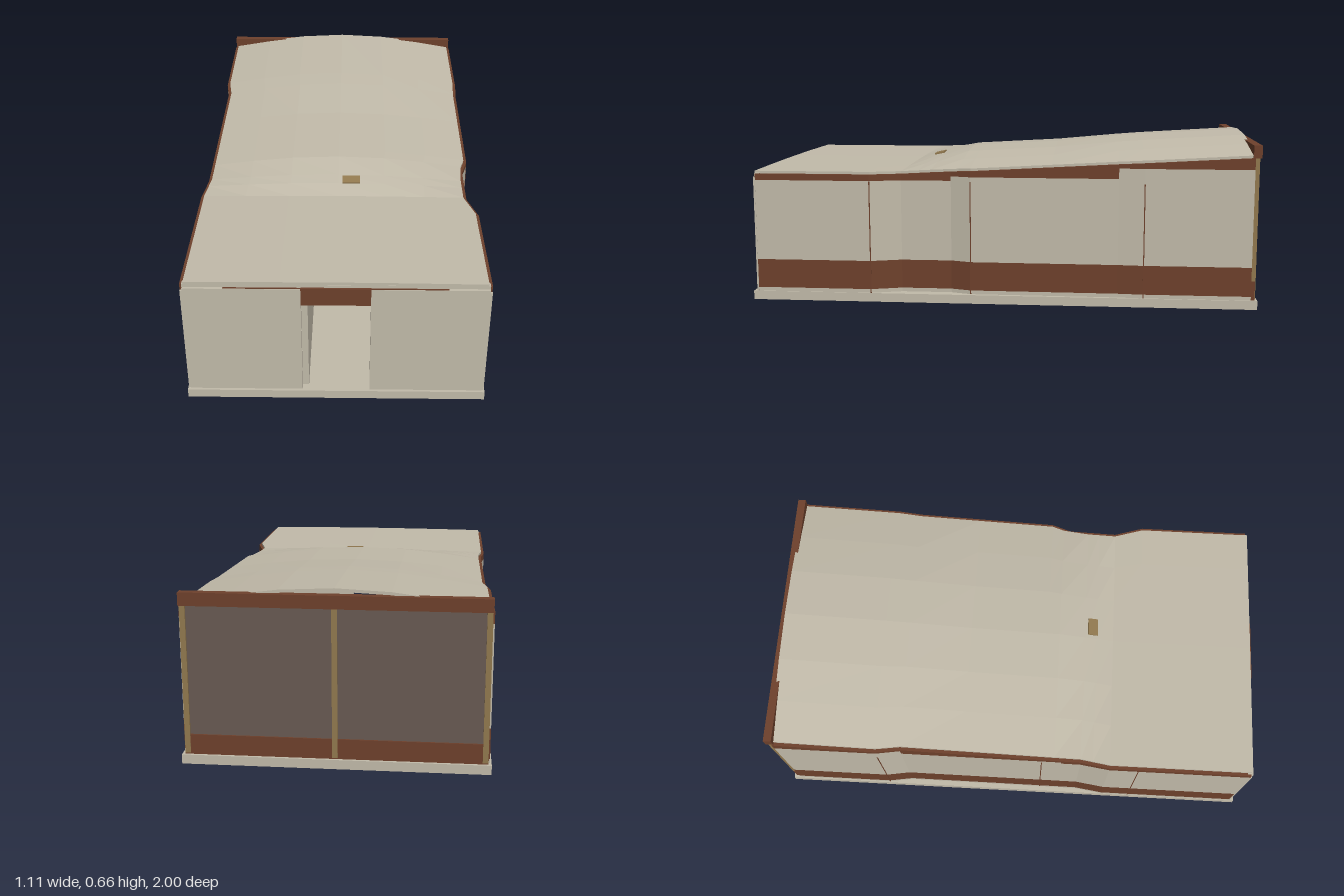
import * as THREE from 'three';

const mat = (name, color) => {
  const m = new THREE.MeshStandardMaterial({ color });
  m.name = name;
  return m;
};

// Linear interpolation through [key, value] pairs with falling keys
function along(pairs, z) {
  for (let i = 1; i < pairs.length; i++) {
    const [z0, v0] = pairs[i - 1], [z1, v1] = pairs[i];
    if (z >= z1 || i === pairs.length - 1) return v0 + (v1 - v0) * (z0 - z) / (z0 - z1);
  }
}

// Closed solid through rings (counter-clockwise from the front), ordered front to back
function loft(rings) {
  const pos = [], n = rings[0].length;
  const quad = (a, b, c, d) => pos.push(...a, ...b, ...c, ...a, ...c, ...d);
  for (let r = 0; r < rings.length - 1; r++) {
    const A = rings[r], B = rings[r + 1];
    for (let i = 0; i < n; i++) {
      const j = (i + 1) % n;
      quad(A[i], B[i], B[j], A[j]);
    }
  }
  const F = rings[0], L = rings[rings.length - 1];
  for (let k = 0; k < n / 2 - 1; k++) {
    quad(F[k], F[k + 1], F[n - 2 - k], F[n - 1 - k]);
    quad(L[n - 1 - k], L[n - 2 - k], L[k + 1], L[k]);
  }
  const g = new THREE.BufferGeometry();
  g.setAttribute('position', new THREE.Float32BufferAttribute(pos, 3));
  g.computeVertexNormals();
  return g;
}

export function createModel() {
  const group = new THREE.Group();
  group.name = 'pavilion';
  const plaster = mat('plaster', 0xc2bbaa);
  const brown = mat('brown', 0x6e412c);
  const glass = mat('dark glass', 0x685a52);
  const brass = mat('brass', 0x92794f);

  const add = (name, geo, m) => {
    const mesh = new THREE.Mesh(geo, m);
    mesh.name = name;
    group.add(mesh);
    return mesh;
  };
  // Box from its lower and upper limits on each axis
  const box = (name, m, x0, x1, y0, y1, z0, z1) => {
    const mesh = add(name, new THREE.BoxGeometry(x1 - x0, y1 - y0, z1 - z0), m);
    mesh.position.set((x0 + x1) / 2, (y0 + y1) / 2, (z0 + z1) / 2);
    return mesh;
  };

  // Outer wall lines: distance from the middle along z
  const plan = {
    left: [[1, 0.552], [0.52, 0.552], [0.4, 0.515], [0.2, 0.515], [0.12, 0.54], [-0.46, 0.543], [-0.56, 0.55], [-1, 0.55]],
    right: [[1, 0.553], [0.4, 0.553], [0.28, 0.536], [-0.46, 0.534], [-0.56, 0.55], [-1, 0.55]],
  };
  const eaves = [[1, 0.521], [0.4, 0.521], [-0.98, 0.6]];
  const ridge = [[1, 0.525], [0.4, 0.525], [0.33, 0.545], [0.17, 0.579], [-0.2, 0.6], [-0.5, 0.63], [-0.98, 0.66]];
  const breaks = [0.98, 0.52, 0.4, 0.28, 0.2, 0.12, -0.46, -0.56, -0.975];

  // Floor slab
  box('floorSlab', plaster, -0.556, 0.556, 0, 0.035, -1, 1);

  // Side walls: one strip following the plan between two heights
  const strip = (name, m, side, z0, z1, low, high, thick = 0.03) => {
    const s = side === 'left' ? 1 : -1;
    const zs = breaks.filter((z) => z <= z0 && z >= z1);
    const rings = zs.map((z) => {
      const xo = along(plan[side], z), xi = xo - thick, top = high(z);
      const ring = [[s * xo, low, z], [s * xo, top, z], [s * xi, top, z], [s * xi, low, z]];
      return s > 0 ? ring : ring.reverse();
    });
    add(name, loft(rings), m);
  };
  const trimSteps = [[0.98, 0.2, 0.486], [0.2, -0.46, 0.504], [-0.46, -0.975, 0.545]];
  for (const side of ['left', 'right']) {
    strip(side + 'WallFoot', plaster, side, 0.98, -0.975, 0.035, () => 0.05);
    strip(side + 'Skirt', brown, side, 0.98, -0.975, 0.05, () => 0.165);
    for (const [z0, z1, y] of trimSteps) {
      strip(side + 'Wall', plaster, side, z0, z1, 0.165, () => y);
      strip(side + 'EavesTrim', brown, side, z0, z1, y, (z) => along(eaves, z) - 0.01);
    }
    // Thin panel joints
    const s = side === 'left' ? 1 : -1;
    for (const z of [0.52, 0.12, -0.56]) {
      const x = s * along(plan[side], z);
      box(side + 'PanelJoint', brown, x - 0.001, x + 0.001, 0.035, 0.485, z - 0.002, z + 0.002);
    }
  }

  // Curved roof: arched across, rising to the back
  const arch = [[0, 0], [0.31, 0.47], [0.63, 0.84], [1, 1], [1.37, 0.84], [1.69, 0.47], [2, 0]];
  const roofZ = [0.985, 0.52, 0.4, 0.33, 0.28, 0.17, 0.12, -0.2, -0.46, -0.56, -0.98];
  const roofRings = roofZ.map((z) => {
    const xl = along(plan.left, z) - 0.013, xr = along(plan.right, z) - 0.013;
    const top = arch.map(([t, h]) => {
      const e = along(eaves, z), x = (1 - t) * (t < 1 ? xl : xr);
      return [x, e + (along(ridge, z) - e) * h, z];
    });
    return [...top, ...top.map(([x, y]) => [x, y - 0.011, z]).reverse()];
  });
  add('roof', loft(roofRings), plaster);

  // Roof vent lying on the slope
  const vent = box('roofVent', brass, 0.015, 0.088, 0.54, 0.554, 0.29, 0.332);
  vent.rotation.x = 0.22;

  // Front wall with doorway
  for (const s of [-1, 1]) {
    const [a, b] = [0.125 * s, 0.545 * s].sort((p, q) => p - q);
    box('frontWall', plaster, a, b, 0.035, 0.497, 0.965, 0.99);
    const [c, d] = [0.54 * s, 0.553 * s].sort((p, q) => p - q);
    box('frontCorner', plaster, c, d, 0.035, 0.485, 0.98, 0.987);
  }
  box('frontHeadTrim', brown, -0.4, 0.4, 0.497, 0.501, 0.965, 0.988);
  box('frontFascia', plaster, -0.545, 0.545, 0.501, 0.513, 0.965, 0.985);
  box('doorLintel', brown, -0.125, 0.125, 0.43, 0.502, 0.962, 0.993);
  box('entrancePartition', plaster, -0.125, -0.102, 0.035, 0.5, 0.45, 0.964);

  // Glazed back wall
  box('backSill', brown, -0.545, 0.545, 0.035, 0.11, -0.99, -0.97);
  box('backGlass', glass, -0.54, 0.54, 0.11, 0.595, -0.984, -0.976);
  for (const x of [-0.534, 0, 0.534]) {
    box('backMullion', brass, x - 0.01, x + 0.01, 0.04, 0.592, -0.992, -0.97);
  }
  box('backParapet', brown, -0.546, 0.546, 0.59, 0.638, -1, -0.968);
  return group;
}
